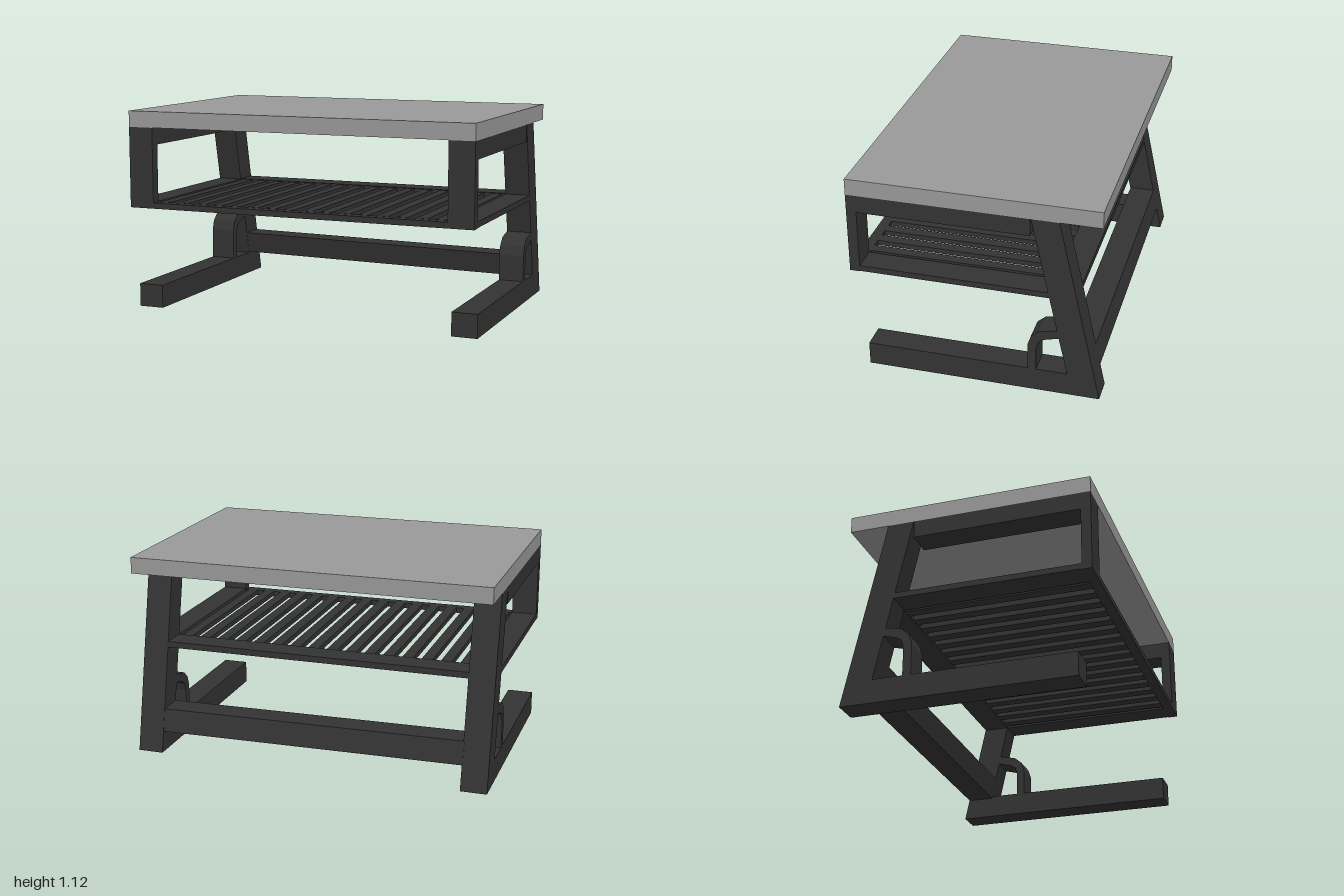
import * as THREE from 'three';

export function createModel() {
  const model = new THREE.Group();
  const dark = new THREE.MeshStandardMaterial({ color: 0x333333, flatShading: true });
  const grey = new THREE.MeshStandardMaterial({ color: 0x999999 });

  const add = (name, geometry, material = dark, parent = model) => {
    const mesh = new THREE.Mesh(geometry, material);
    mesh.name = name;
    parent.add(mesh);
    return mesh;
  };

  // Box given by its limits on each axis
  const box = (name, [x0, x1], [y0, y1], [z0, z1], material, parent) =>
    add(name, new THREE.BoxGeometry(x1 - x0, y1 - y0, z1 - z0), material, parent)
      .position.set((x0 + x1) / 2, (y0 + y1) / 2, (z0 + z1) / 2);

  // Side profile given as [z, y] points, extruded from x0 to x1
  const profile = (points, x0, x1) => {
    const shape = new THREE.Shape(points.map(([z, y]) => new THREE.Vector2(-z, y)));
    return new THREE.ExtrudeGeometry(shape, { depth: x1 - x0, bevelEnabled: false })
      .rotateY(Math.PI / 2).translate(x0, 0, 0);
  };

  // Table top
  box('tableTop', [-1, 1], [1.03, 1.12], [-0.67, 0.675], grey);

  // Side frames
  for (const side of [-1, 1]) {
    const frame = new THREE.Group();
    frame.name = side > 0 ? 'leftFrame' : 'rightFrame';
    model.add(frame);
    const [x0, x1] = side > 0 ? [0.858, 1] : [-1, -0.855];

    // Slanted leg and foot in one outline
    add('legAndFoot', profile([
      [0.595, 0], [0.595, 0.13], [-0.5, 0.13], [-0.303, 1.03], [-0.45, 1.03], [-0.675, 0],
    ], x0, x1), dark, frame);

    // Rail under the top, front post and shelf side rail
    box('topRail', [x0, x1], [0.933, 1.03], [-0.3, 0.675], dark, frame);
    box('frontPost', [x0, x1], [0.58, 0.933], [0.62, 0.675], dark, frame);
    box('shelfSideRail', [x0, x1], [0.583, 0.615], [-0.42, 0.62], dark, frame);

    // Bent brace from foot to leg
    const lift = side > 0 ? -0.012 : 0.015;
    const outer = [[-0.287, 0.29], [-0.305, 0.345], [-0.35, 0.383], [-0.46, 0.405]];
    const inner = [[-0.46, 0.358], [-0.375, 0.335], [-0.345, 0.315], [-0.333, 0.27]];
    add('brace', profile([
      [-0.287, 0.12], ...[...outer, ...inner].map(([z, y]) => [z, y + lift]), [-0.333, 0.12],
    ], x0, x1), dark, frame);
  }

  // Rear stretcher, following the slant of the legs and dropping slightly to the left
  const stretcher = profile([
    [-0.5, 0.127], [-0.474, 0.253], [-0.62, 0.253], [-0.647, 0.127],
  ], -0.86, 0.86);
  const p = stretcher.attributes.position;
  for (let i = 0; i < p.count; i++) p.setY(i, p.getY(i) - 0.01 * p.getX(i));
  add('rearStretcher', stretcher);

  // Shelf rails and slats
  box('shelfFrontRail', [-0.86, 0.86], [0.58, 0.612], [0.62, 0.675]);
  box('shelfRearRail', [-0.86, 0.86], [0.584, 0.618], [-0.545, -0.4]);
  const slats = 16, pitch = 1.72 / slats;
  for (let i = 0; i < slats; i++) {
    const x = -0.86 + pitch * (i + 0.5);
    box('shelfSlat', [x - 0.03, x + 0.03], [0.585, 0.613], [-0.4, 0.62]);
  }
  return model;
}
